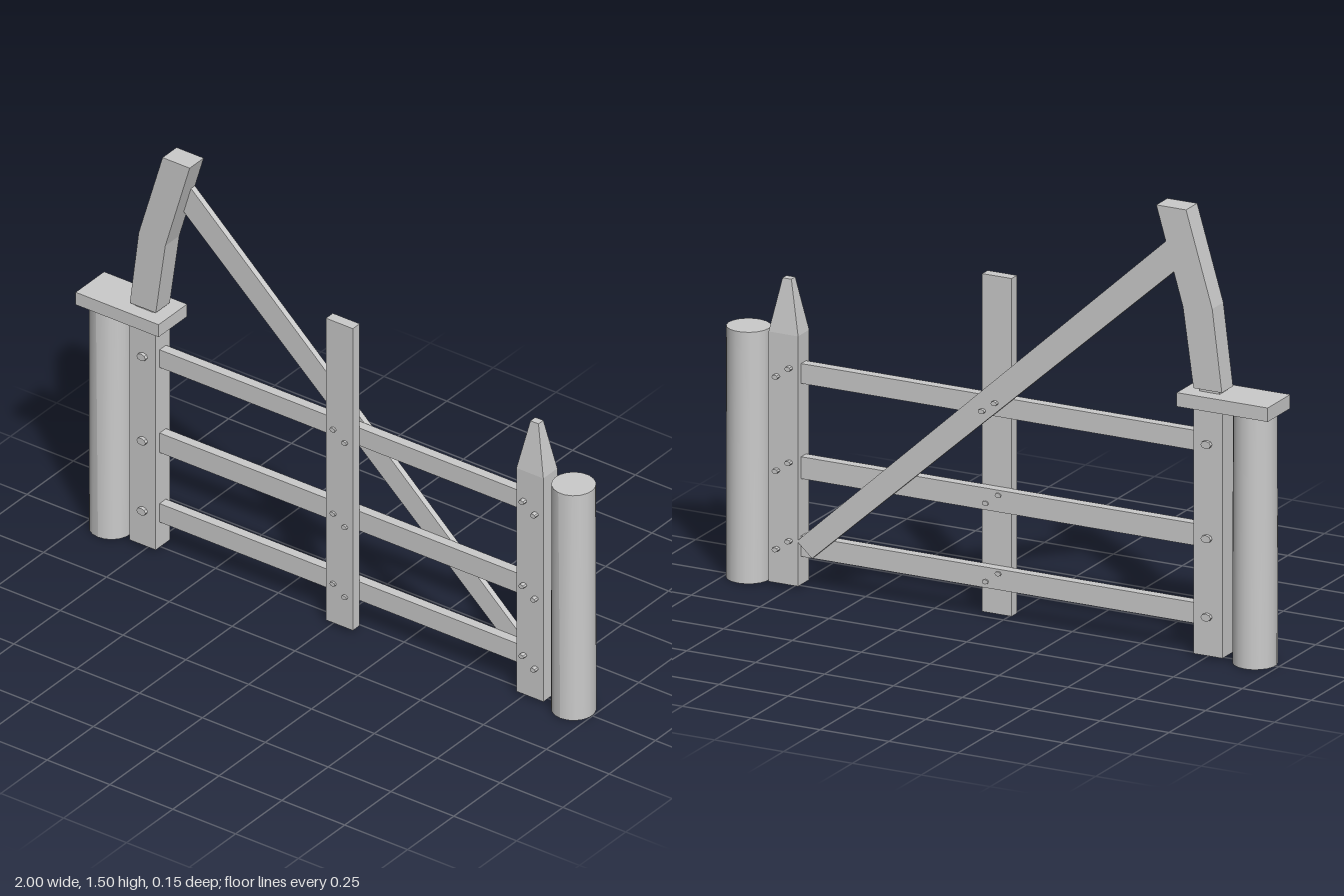
import * as THREE from 'three';

const mat = new THREE.MeshStandardMaterial({ color: 0xcccccc });
const flat = new THREE.MeshStandardMaterial({ color: 0xcccccc, flatShading: true });

export function createModel() {
  const gate = new THREE.Group();
  gate.name = 'gate';

  const add = (name, geometry, material = flat) => {
    const mesh = new THREE.Mesh(geometry, material);
    mesh.name = name;
    gate.add(mesh);
    return mesh;
  };
  // Box given by its limits on each axis
  const block = (name, x0, x1, y0, y1, z0, z1) => add(name,
    new THREE.BoxGeometry(x1 - x0, y1 - y0, z1 - z0)
      .translate((x0 + x1) / 2, (y0 + y1) / 2, (z0 + z1) / 2));
  // Outline in x and y, given a thickness in z
  const plank = (name, points, z0, z1) => {
    const shape = new THREE.Shape(points.map(([x, y]) => new THREE.Vector2(x, y)));
    return add(name, new THREE.ExtrudeGeometry(shape, { depth: z1 - z0, bevelEnabled: false })
      .translate(0, 0, z0));
  };
  // Peg through the timber along z, slightly oval
  const peg = (x, y, z0, z1, rx, ry) => add('peg',
    new THREE.CylinderGeometry(1, 1, z1 - z0, 8).rotateX(Math.PI / 2)
      .scale(rx, ry, 1).translate(x, y, (z0 + z1) / 2));

  // Round outer posts, with a slight twist along the grain
  for (const [name, x] of [['hingePost', -0.914], ['latchPost', 0.925]]) {
    const geo = new THREE.CylinderGeometry(0.072, 0.073, 0.85, 18).translate(0, 0.425, 0);
    const p = geo.attributes.position;
    for (let i = 0; i < p.count; i++) {
      const a = p.getY(i) * 0.15, px = p.getX(i), pz = p.getZ(i);
      p.setX(i, px * Math.cos(a) - pz * Math.sin(a));
      p.setZ(i, px * Math.sin(a) + pz * Math.cos(a));
    }
    geo.computeVertexNormals();
    add(name, geo, mat).position.x = x;
  }

  // Hinge stile, cap plate and neck
  block('hingeStile', -0.815, -0.71, 0.01, 0.86, -0.038, 0.038);
  block('capPlate', -1, -0.67, 0.85, 0.897, -0.077, 0.077);
  block('neck', -0.80, -0.727, 0.89, 0.915, -0.028, 0.028);

  // Bent arm above the cap
  plank('arm', [[-0.813, 0.907], [-0.71, 0.907], [-0.672, 1.175], [-0.575, 1.505],
    [-0.683, 1.505], [-0.778, 1.185]], -0.038, 0.038);

  // Latch stile with a tapered point
  block('latchStile', 0.725, 0.832, 0.01, 0.855, -0.038, 0.038);
  const tip = new THREE.BoxGeometry(0.107, 0.18, 0.076);
  const tp = tip.attributes.position;
  for (let i = 0; i < tp.count; i++) {
    if (tp.getY(i) > 0) tp.setXYZ(i, tp.getX(i) * 0.3, 0.09, tp.getZ(i) * 0.35);
  }
  tip.computeVertexNormals();
  add('latchStilePoint', tip).position.set(0.7785, 0.945, 0);

  // Middle upright on the front and diagonal brace on the back
  block('middleUpright', -0.021, 0.086, 0.01, 1.152, 0.017, 0.054);
  plank('brace', [[-0.65, 1.425], [-0.69, 1.335], [0.675, 0.112], [0.73, 0.162]], -0.037, -0.016);

  // Rails and their pegs
  for (const [y0, y1] of [[0.69, 0.757], [0.368, 0.442], [0.105, 0.175]]) {
    block('rail', -0.73, 0.74, y0, y1, -0.017, 0.017);
    const y = (y0 + y1) / 2;
    peg(-0.76, y + 0.002, -0.05, 0.05, 0.018, 0.013);
    const back = y0 > 0.6 ? -0.05 : -0.022;
    for (const [dx, dy] of [[-0.023, 0.02], [0.023, -0.014]]) {
      peg(0.0325 + dx, y + dy, back, 0.062, 0.011, 0.008);
      peg(0.7785 + dx, y + dy, -0.055, 0.055, 0.011, 0.008);
    }
  }
  return gate;
}
